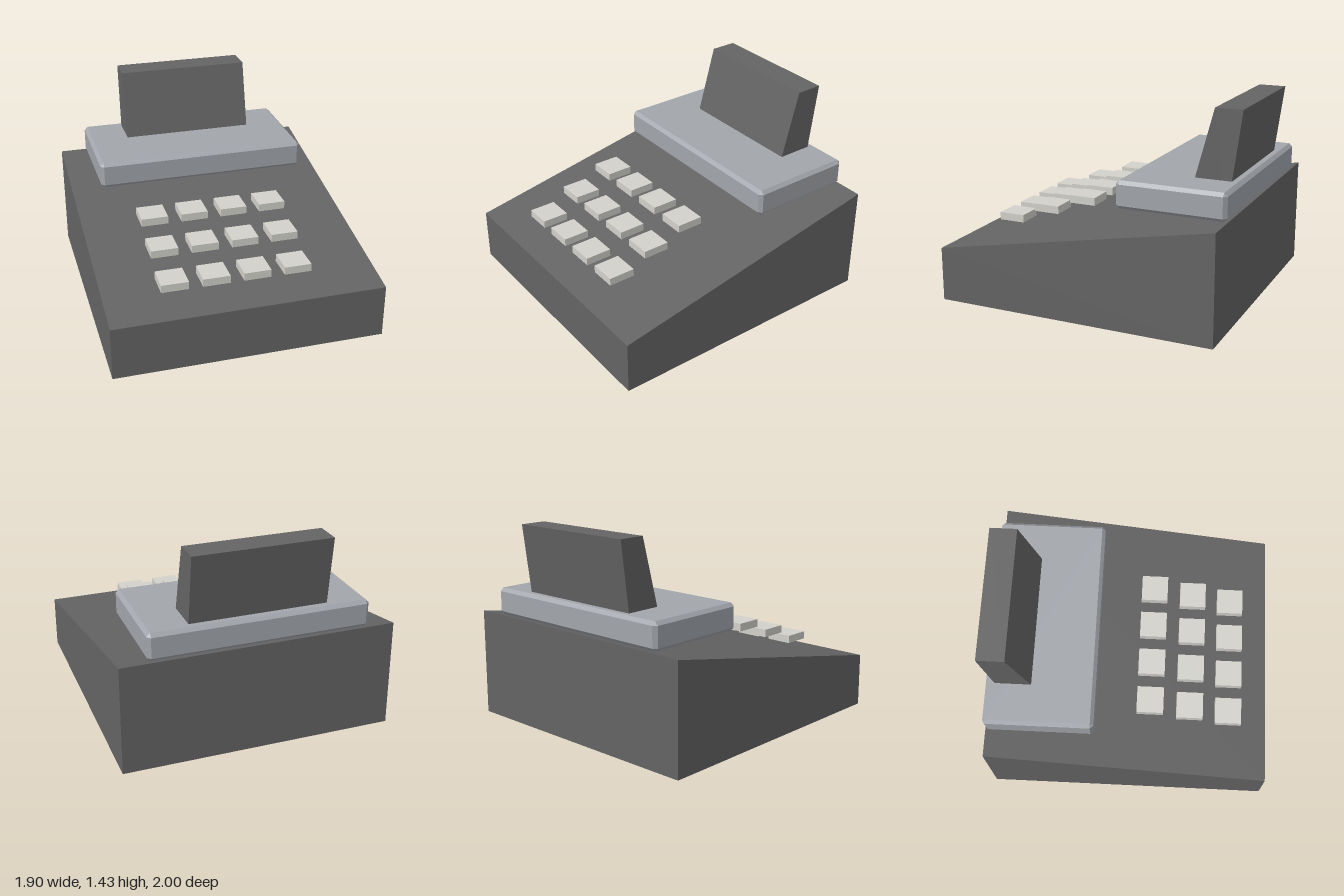
import * as THREE from 'three';
import { ConvexGeometry } from 'three/addons/geometries/ConvexGeometry.js';

const paint = (name, color) => {
  const m = new THREE.MeshStandardMaterial({ color });
  m.name = name;
  return m;
};

// Extrudes a [z, y] side profile across the width, centred on x = 0
function sideExtrude(profile, width) {
  const shape = new THREE.Shape(profile.map(([z, y]) => new THREE.Vector2(-z, y)));
  const geo = new THREE.ExtrudeGeometry(shape, { depth: width, bevelEnabled: false });
  geo.translate(0, 0, -width / 2);
  return geo.rotateY(Math.PI / 2);
}

// Box with every edge and corner chamfered
function chamferBox(w, h, d, c) {
  const points = [];
  for (const x of [-1, 1]) for (const y of [-1, 1]) for (const z of [-1, 1]) {
    for (let axis = 0; axis < 3; axis++) {
      const inset = [c, c, c];
      inset[axis] = 0;
      points.push(new THREE.Vector3(
        x * (w / 2 - inset[0]), y * (h / 2 - inset[1]), z * (d / 2 - inset[2])));
    }
  }
  return new ConvexGeometry(points);
}

export function createModel() {
  const model = new THREE.Group();
  model.name = 'cashRegister';
  const charcoal = paint('charcoal', 0x646465);
  const grey = paint('grey', 0xa2a6ac);
  const ivory = paint('ivory', 0xd2d1cb);

  const add = (name, geo, material, x = 0, y = 0, z = 0, parent = model) => {
    const mesh = new THREE.Mesh(geo, material);
    mesh.name = name;
    mesh.position.set(x, y, z);
    parent.add(mesh);
  };

  // Wedge-shaped body with a sloping top
  add('body', sideExtrude([[1, 0], [1, 0.38], [-1, 0.762], [-1, 0]], 1.9), charcoal);

  // Chamfered slab at the rear
  add('displayBase', chamferBox(1.525, 0.19, 0.762, 0.024), grey, 0, 0.862, -0.619);

  // Tapered screen leaning back through the slab
  add('display', sideExtrude([[-0.62, 0.72], [-0.81, 1.43], [-1, 1.43], [-0.905, 0.72]], 0.952), charcoal);

  // Three stepped rows of four keys
  const keys = new THREE.Group();
  keys.name = 'keypad';
  model.add(keys);
  const keyGeo = new THREE.BoxGeometry(0.19, 0.055, 0.19);
  for (const [z, y] of [[0.714, 0.504], [0.429, 0.604], [0.143, 0.7]]) {
    for (let i = 0; i < 4; i++) add('key', keyGeo, ivory, -0.476 + i * 0.2857, y, z, keys);
  }
  return model;
}
